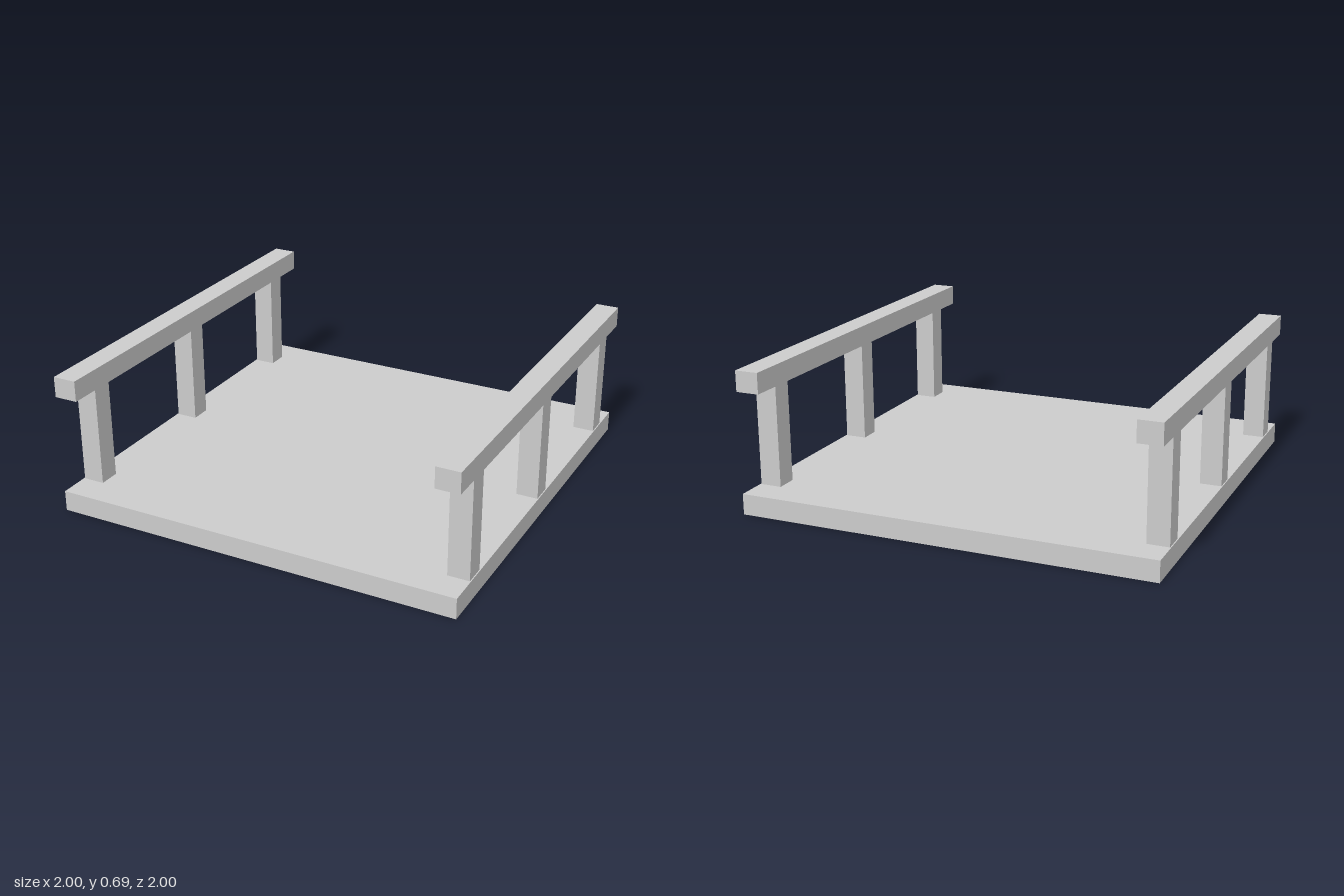
import * as THREE from 'three';

export function createModel() {
  const model = new THREE.Group();
  const material = new THREE.MeshStandardMaterial({ color: 0xcccccc, flatShading: true });

  // Adds a box standing with its base at height y
  const addBox = (parent, name, [w, h, d], [x, y, z]) => {
    const mesh = new THREE.Mesh(new THREE.BoxGeometry(w, h, d), material);
    mesh.name = name;
    mesh.position.set(x, y + h / 2, z);
    parent.add(mesh);
  };

  const deckTop = 0.1;
  const railBase = 0.587;

  // Square deck
  addBox(model, 'deck', [2, deckTop, 2], [0, 0, 0]);

  // A railing along each side: three posts under a long handrail
  for (const [side, label] of [[1, 'left'], [-1, 'right']]) {
    const railing = new THREE.Group();
    railing.name = `${label}Railing`;
    const x = side * 0.943;
    for (const [z, place] of [[0.8, 'front'], [0, 'middle'], [-0.8, 'back']]) {
      addBox(railing, `${place}Post`, [0.104, railBase - deckTop, 0.104], [x, deckTop, z]);
    }
    addBox(railing, 'handrail', [0.114, 0.1, 2], [x, railBase, 0]);
    model.add(railing);
  }

  return model;
}
